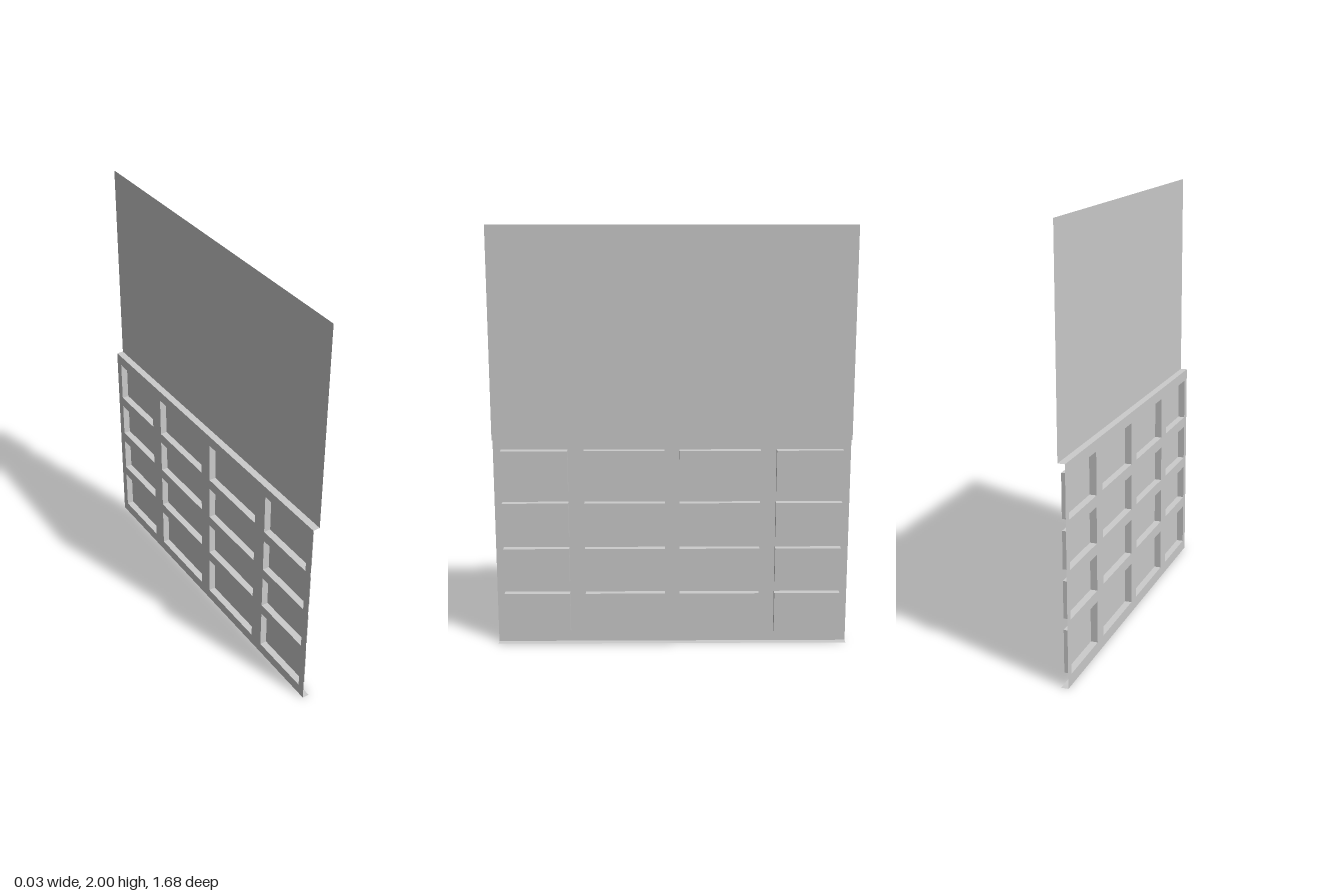
import * as THREE from 'three';

const HALF = 0.84;    // half width along z
const STEP = 1.01;    // height where the sheet steps back
const D = 0.0165;     // half the pressed depth along x
const rows = [[0.053, 0.254], [0.307, 0.479], [0.532, 0.704], [0.757, 0.958]];
const cols = [[-0.803, -0.49], [-0.415, -0.035], [0.035, 0.415], [0.49, 0.803]];

const material = new THREE.MeshStandardMaterial({ color: 0xcccccc, side: THREE.DoubleSide });

function add(parent, name, geometry, x = 0, y = 0, z = 0) {
  const mesh = new THREE.Mesh(geometry, material);
  mesh.name = name;
  mesh.position.set(x, y, z);
  parent.add(mesh);
}

// Thin sheets facing +x, +y and +z
const sheetX = (depth, height) => new THREE.PlaneGeometry(depth, height).rotateY(Math.PI / 2);
const sheetY = (depth) => new THREE.PlaneGeometry(2 * D, depth).rotateX(-Math.PI / 2);
const sheetZ = (height) => new THREE.PlaneGeometry(2 * D, height);

// Raised panel pressed out of the sheet: a face and four side walls, open behind
function pressedPanel([z0, z1], [y0, y1]) {
  const panel = new THREE.Group();
  panel.name = 'pressedPanel';
  const w = z1 - z0, h = y1 - y0;
  panel.position.set(0, (y0 + y1) / 2, (z0 + z1) / 2);
  add(panel, 'panelFace', sheetX(w, h), D);
  add(panel, 'panelTop', sheetY(w), 0, h / 2);
  add(panel, 'panelBottom', sheetY(w).rotateZ(Math.PI), 0, -h / 2);
  add(panel, 'panelFrontSide', sheetZ(h), 0, 0, w / 2);
  add(panel, 'panelBackSide', sheetZ(h).rotateY(Math.PI), 0, 0, -w / 2);
  return panel;
}

function rectangle(path, z0, z1, y0, y1) {
  return path.moveTo(z0, y0).lineTo(z1, y0).lineTo(z1, y1).lineTo(z0, y1).closePath();
}

export function createModel() {
  const model = new THREE.Group();
  model.name = 'panelledDoor';

  // Plain upper sheet, the step below it and the lip along the bottom
  add(model, 'upperSheet', sheetX(2 * HALF, 2 - STEP), D, (2 + STEP) / 2);
  add(model, 'stepLedge', sheetY(2 * HALF), 0, STEP);
  add(model, 'bottomLip', sheetY(2 * HALF), 0, 0);

  // Lower sheet with an opening behind each raised panel
  const shape = rectangle(new THREE.Shape(), -HALF, HALF, 0, STEP);
  for (const row of rows) {
    for (const col of cols) {
      shape.holes.push(rectangle(new THREE.Path(), ...col, ...row));
      model.add(pressedPanel(col, row));
    }
  }
  add(model, 'lowerSheet', new THREE.ShapeGeometry(shape).rotateY(Math.PI / 2), -D);

  return model;
}
